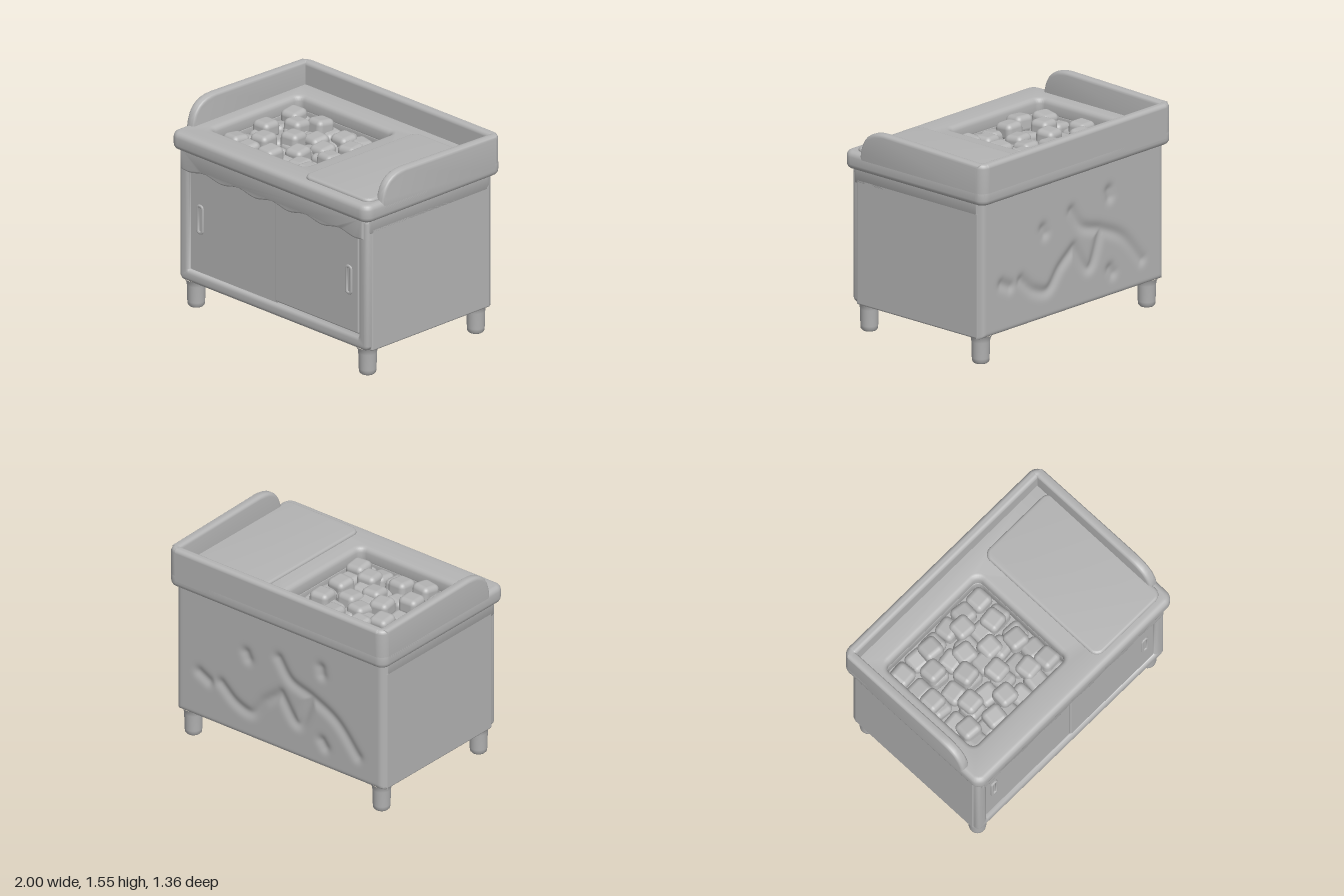
import * as THREE from 'three';
import { toCreasedNormals } from 'three/addons/utils/BufferGeometryUtils.js';
import { RoundedBoxGeometry } from 'three/addons/geometries/RoundedBoxGeometry.js';

const grey = new THREE.MeshStandardMaterial({ color: 0xb4b4b4 });
grey.name = 'plain grey';

function add(parent, name, geometry, x = 0, y = 0, z = 0) {
  const mesh = new THREE.Mesh(geometry, grey);
  mesh.name = name;
  mesh.position.set(x, y, z);
  parent.add(mesh);
  return mesh;
}

// Rounded rectangle outline, also used for holes
function roundRect(x0, y0, x1, y1, r, Type = THREE.Shape) {
  const s = new Type();
  s.absarc(x1 - r, y0 + r, r, -Math.PI / 2, 0);
  s.absarc(x1 - r, y1 - r, r, 0, Math.PI / 2);
  s.absarc(x0 + r, y1 - r, r, Math.PI / 2, Math.PI);
  s.absarc(x0 + r, y0 + r, r, Math.PI, Math.PI * 1.5);
  s.closePath();
  return s;
}

// Extrusion with soft edges; depth and outline grow by the bevel
function soft(shape, depth, bevel) {
  const g = new THREE.ExtrudeGeometry(shape, {
    depth, bevelThickness: bevel, bevelSize: bevel, bevelSegments: 4, curveSegments: 8,
  });
  return toCreasedNormals(g, 0.7);
}

// The same, lying flat with its depth upwards
const softFlat = (shape, depth, bevel) => soft(shape, depth, bevel).rotateX(-Math.PI / 2);

// Back panel with rounded margins and shallow pressed creases
function backPanel() {
  const strokes = [
    [[0.54, 0.55], [0.4, 0.44], [0.26, 0.41], [0.13, 0.55], [-0.01, 0.66]],
    [[-0.01, 0.66], [-0.17, 0.47], [-0.3, 0.73]],
    [[0.01, 0.94], [-0.1, 0.8], [-0.3, 0.73], [-0.52, 0.62], [-0.72, 0.4]],
    [[0.74, 0.57], [0.66, 0.53]], [[0.31, 0.88], [0.29, 0.84]],
    [[-0.38, 1.0], [-0.39, 0.95]], [[-0.39, 0.41], [-0.42, 0.37]],
  ];
  const samples = strokes.flatMap((pts) =>
    new THREE.CatmullRomCurve3(pts.map(([x, y]) => new THREE.Vector3(x, y, 0))).getPoints(70));
  const g = new THREE.PlaneGeometry(1.92, 1.02, 150, 80);
  g.rotateY(Math.PI);
  g.translate(0, 0.71, 0);
  const p = g.attributes.position;
  const round = (d, r) => (d < r ? r - Math.sqrt(r * r - (r - d) ** 2) : 0);
  for (let i = 0; i < p.count; i++) {
    const x = p.getX(i), y = p.getY(i);
    let d = 1;
    for (const s of samples) d = Math.min(d, Math.hypot(s.x - x, s.y - y));
    const dent = 0.018 * Math.exp(-((d / 0.042) ** 2));
    p.setZ(i, -0.63 + dent + Math.max(round(0.96 - Math.abs(x), 0.05), round(y - 0.2, 0.035)));
  }
  g.computeVertexNormals();
  return g;
}

export function createModel() {
  const model = new THREE.Group();
  model.name = 'iceCounter';

  // Cabinet body, with the front frame around the door opening
  add(model, 'cabinetBody', new RoundedBoxGeometry(1.92, 0.95, 1.18, 3, 0.015), 0, 0.675, -0.005);
  add(model, 'backPanel', backPanel());
  const frame = roundRect(-0.925, 0.235, 0.925, 1.2, 0.015);
  frame.holes.push(roundRect(-0.89, 0.27, 0.89, 1.12, 0.035, THREE.Path));
  add(model, 'frontFrame', soft(frame, 0.065, 0.03), 0, 0, 0.535);

  // Collar around the well, between body and counter
  const collar = roundRect(-0.95, -0.62, 0.95, 0.605, 0.04);
  collar.holes.push(roundRect(-0.825, -0.455, 0.15, 0.445, 0.07, THREE.Path));
  add(model, 'wellCollar', softFlat(collar, 0.12, 0.01), 0, 1.12, 0);

  // Sliding doors, the one on the model's left running in front
  add(model, 'rightDoor', new RoundedBoxGeometry(0.9, 0.82, 0.03, 2, 0.008), -0.43, 0.7, 0.585);
  add(model, 'leftDoor', new RoundedBoxGeometry(0.85, 0.8, 0.05, 2, 0.012), 0.43, 0.715, 0.592);
  for (const [name, x, z] of [['rightHandle', -0.765, 0.6], ['leftHandle', 0.76, 0.615]]) {
    const ring = roundRect(-0.025, -0.105, 0.025, 0.105, 0.02);
    ring.holes.push(roundRect(-0.021, -0.1, 0.021, 0.1, 0.018, THREE.Path));
    add(model, name, soft(ring, 0.005, 0.008), x, 0.71, z);
  }

  // Wavy valance under the counter edge
  const wave = new THREE.Shape();
  wave.moveTo(0.91, 1.23);
  wave.lineTo(-0.91, 1.23);
  for (let i = 0; i <= 80; i++) {
    const x = -0.91 + (1.82 * i) / 80;
    wave.lineTo(x, 1.094 + 0.014 * Math.cos((x * Math.PI * 2) / 0.34));
  }
  add(model, 'valance', soft(wave, 0.02, 0.016), 0, 0, 0.616);

  // Counter slab with the open well
  const slab = roundRect(-0.96, -0.64, 0.96, 0.64, 0.035);
  slab.holes.push(roundRect(-0.855, -0.485, 0.18, 0.475, 0.09, THREE.Path));
  add(model, 'counterSlab', softFlat(slab, 0.055, 0.04), 0, 1.255, 0);

  // Raised board beside the well
  const board = roundRect(0.3, -0.59, 0.93, 0.5, 0.05);
  add(model, 'board', softFlat(board, 0.01, 0.02), 0, 1.342, 0);

  // Splash walls: straight at the back, swept down at the front of each side
  add(model, 'backWall', new RoundedBoxGeometry(1.91, 0.285, 0.075, 4, 0.03), 0, 1.3825, -0.6425);
  const side = new THREE.Shape();
  side.moveTo(-0.61, 1.265);
  side.lineTo(0.5, 1.265);
  side.lineTo(0.49, 1.36);
  side.bezierCurveTo(0.47, 1.46, 0.42, 1.52, 0.28, 1.52);
  side.lineTo(-0.61, 1.499);
  const wall = soft(side, 0.025, 0.025);
  wall.rotateY(-Math.PI / 2);
  wall.translate(0.0125, 0, 0);
  add(model, 'leftWall', wall, 0.9625, 0, 0);
  add(model, 'rightWall', wall, -0.9625, 0, 0);

  // Rounded quarter posts joining the walls at the back corners
  const section = [[0.03, 1.24], [0.05, 1.24], [0.066, 1.25], [0.075, 1.27], [0.075, 1.495],
    [0.066, 1.515], [0.05, 1.524], [0.025, 1.524], [0.009, 1.515], [0, 1.495]];
  const sectionPoints = section.map(([r, y]) => new THREE.Vector2(r, y));
  for (const [name, x, start] of [['leftCorner', 0.925, Math.PI / 2], ['rightCorner', -0.925, Math.PI]]) {
    add(model, name, new THREE.LatheGeometry(sectionPoints, 10, start, Math.PI / 2), x, 0, -0.605);
  }

  // Ice cubes: an even lower layer and loose cubes on top
  const ice = new THREE.Group();
  ice.name = 'iceCubes';
  model.add(ice);
  const cube = new RoundedBoxGeometry(0.155, 0.13, 0.155, 3, 0.04);
  let n = 0;
  const place = (x, y, z) => {
    n++;
    add(ice, 'iceCube', cube, x, y, z)
      .rotation.set(0.12 * Math.sin(n * 2.3), 0.12 * Math.sin(n * 1.7), 0.12 * Math.cos(n * 3.1));
  };
  for (let i = 0; i < 6; i++) {
    for (let j = 0; j < 5; j++) {
      place(-0.73 + i * 0.157, 1.175 + 0.012 * Math.sin(i * 5 + j * 3), -0.34 + j * 0.18);
    }
  }
  const top = [
    [-0.75, -0.32], [-0.47, -0.31], [-0.19, -0.27], [0, -0.15], [-0.58, -0.18], [-0.32, -0.12],
    [-0.74, -0.03], [-0.43, 0], [-0.16, -0.03], [0.01, 0.07], [-0.56, 0.17], [-0.25, 0.13],
    [-0.71, 0.3], [-0.35, 0.31], [-0.08, 0.28], [0.06, 0.33], [-0.52, 0.37],
  ];
  top.forEach(([x, z], i) => place(x, 1.235 + 0.015 * Math.sin(i * 2.1), z));

  // Short tapered feet
  const profile = [[0, 0], [0.05, 0], [0.061, 0.012], [0.064, 0.04], [0.067, 0.16], [0.071, 0.185], [0.083, 0.21]];
  const foot = toCreasedNormals(
    new THREE.LatheGeometry(profile.map(([r, y]) => new THREE.Vector2(r, y)), 24), 0.9);
  for (const x of [-0.87, 0.87]) {
    for (const z of [-0.54, 0.54]) add(model, 'foot', foot, x, 0, z);
  }
  return model;
}
